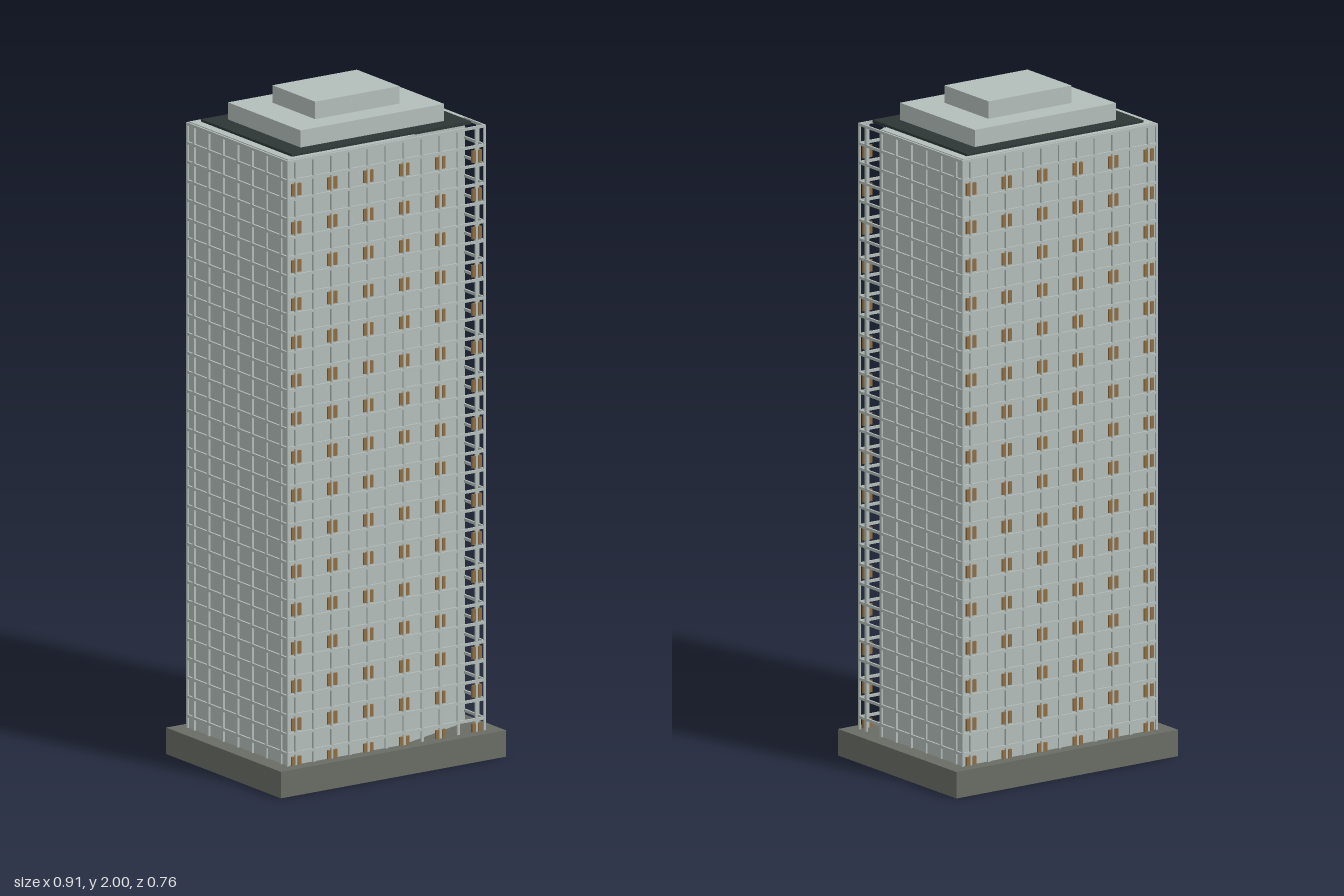
import * as THREE from 'three';
import { mergeGeometries } from 'three/addons/utils/BufferGeometryUtils.js';

const mat = (name, color) => {
  const m = new THREE.MeshStandardMaterial({ color });
  m.name = name;
  return m;
};

export function createModel() {
  const concrete = mat('pale concrete', 0xb3bdba);
  const stone = mat('plinth stone', 0x686c64);
  const tar = mat('dark roofing', 0x2e3635);
  const amber = mat('amber panel', 0x8f6d42);

  const model = new THREE.Group();
  model.name = 'towerBlock';
  const building = new THREE.Group();
  building.name = 'building';
  building.rotation.y = -THREE.MathUtils.degToRad(15);
  model.add(building);

  const add = (name, geo, material) => {
    const m = new THREE.Mesh(geo, material);
    m.name = name;
    building.add(m);
    return m;
  };
  // box given by its size, centre x/z and bottom/top heights
  const box = (w, d, y0, y1, x = 0, z = 0) =>
    new THREE.BoxGeometry(w, y1 - y0, d).translate(x, (y0 + y1) / 2, z);

  const HX = 0.347, HZ = 0.256;   // half size over the lattice
  const T = 0.006;                // lattice depth
  const CX = HX - T, CZ = HZ - T; // half size of the core
  const Y0 = 0.08, Y1 = 1.887;
  const FLOOR = 0.057;

  add('plinth', box(0.787, 0.58, 0.001, Y0), stone);

  // core with one front corner cut away behind the lattice
  const plan = new THREE.Shape([
    [-CX, -CZ], [0.058, -CZ], [CX, -0.154], [CX, CZ], [-CX, CZ],
  ].map(([x, y]) => new THREE.Vector2(x, y)));
  const core = new THREE.ExtrudeGeometry(plan, { depth: 1.89, bevelEnabled: false });
  core.rotateX(-Math.PI / 2);
  add('core', core, concrete);

  // vertical fins on all four sides, plus corner posts
  const fins = [];
  for (const s of [-1, 1]) {
    for (let k = -5; k <= 5; k++)
      fins.push(box(0.008, T, Y0, Y1, k * HX / 5.5, s * (HZ - T / 2)));
    for (let k = -3; k <= 3; k++)
      fins.push(box(T, 0.008, Y0, Y1, s * (HX - T / 2), k * HZ / 3.5));
    for (const t of [-1, 1])
      fins.push(box(T, T, Y0, Y1, s * (HX - T / 2), t * (HZ - T / 2)));
  }
  add('fins', mergeGeometries(fins), concrete);

  // floor ledges running round the tower
  const ledges = [];
  for (let k = -16; k <= 15; k++) {
    const y = 1.0285 + k * FLOOR;
    for (const s of [-1, 1]) {
      ledges.push(box(2 * HX, T, y - 0.004, y + 0.004, 0, s * (HZ - T / 2)));
      ledges.push(box(T, 2 * CZ, y - 0.004, y + 0.004, s * (HX - T / 2), 0));
    }
  }
  add('floorLedges', mergeGeometries(ledges), concrete);

  // amber panels either side of every second fin, on every second floor
  const panels = [];
  for (let j = -8; j <= 7; j++) {
    const y = 1 + j * 2 * FLOOR;
    for (let k = -5; k <= 5; k += 2)
      for (const s of [-1, 1])
        for (const side of [-1, 1])
          panels.push(box(0.012, T, Math.max(Y0, y - 0.018), y + 0.018,
            k * HX / 5.5 + side * 0.0105, s * (HZ - T / 2 + 0.001)));
  }
  add('amberPanels', mergeGeometries(panels), amber);

  // stepped roof
  add('roofDeck', box(0.627, 0.461, 1.888, 1.897), tar);
  add('lowerPenthouse', box(0.502, 0.367, 1.895, 1.948), concrete);
  add('upperPenthouse', box(0.295, 0.216, 1.948, 2.0), concrete);

  return model;
}
